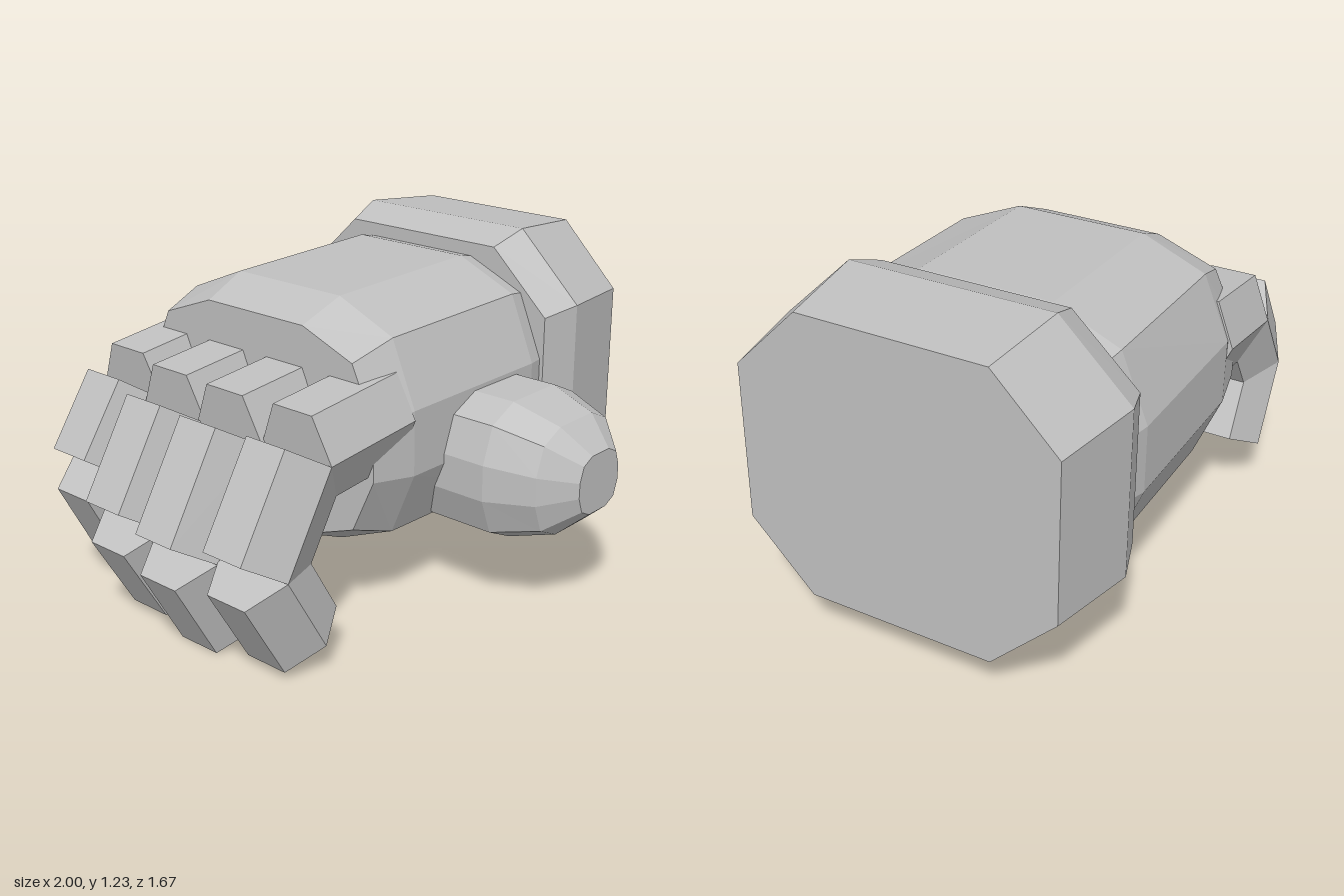
import * as THREE from 'three';

// Closed prism along +z: outline is counter-clockwise in unit x/y, sections are [z, halfWidth, halfHeight].
function loft(outline, sections) {
  const n = outline.length;
  const pos = [];
  const at = (s, i) => {
    const [z, w, h] = sections[s];
    const [x, y] = outline[i % n];
    return [x * w, y * h, z];
  };
  const tri = (a, b, c) => pos.push(...a, ...b, ...c);
  for (let s = 0; s < sections.length - 1; s++) {
    for (let i = 0; i < n; i++) {
      tri(at(s, i), at(s, i + 1), at(s + 1, i + 1));
      tri(at(s, i), at(s + 1, i + 1), at(s + 1, i));
    }
  }
  const last = sections.length - 1;
  for (let i = 1; i < n - 1; i++) {
    tri(at(0, 0), at(0, i + 1), at(0, i));
    tri(at(last, 0), at(last, i), at(last, i + 1));
  }
  const geo = new THREE.BufferGeometry();
  geo.setAttribute('position', new THREE.Float32BufferAttribute(pos, 3));
  geo.computeVertexNormals();
  return geo;
}

// Mirror one quadrant (listed counter-clockwise from +x to +y) into a full outline.
function mirrored(quadrant) {
  const left = quadrant.map(([x, y]) => [-x, y]).reverse();
  const top = [...quadrant, ...left];
  return [...top, ...top.map(([x, y]) => [-x, -y])];
}

const ROUNDED = mirrored([[1, 0.26], [0.83, 0.78], [0.42, 1]]);
const OCTAGON = mirrored([[1, 0.55], [0.59, 1]]);
const HEXAGON = [[1, 0], [0.55, 1], [-0.55, 1], [-1, 0], [-0.55, -1], [0.55, -1]];

export function createModel() {
  const group = new THREE.Group();
  const grey = new THREE.MeshStandardMaterial({ color: 0xc0c0c0, flatShading: true });
  grey.name = 'grey';

  const add = (name, geo, parent = group) => {
    const mesh = new THREE.Mesh(geo, grey);
    mesh.name = name;
    parent.add(mesh);
    return mesh;
  };

  // Palm and wrist cuff run along x
  const palm = add('palm', loft(ROUNDED, [
    [-0.38, 0.55, 0.385], [-0.21, 0.585, 0.455], [0.45, 0.59, 0.47], [0.56, 0.565, 0.445],
  ]));
  const cuff = add('wristCuff', loft(OCTAGON, [
    [0.52, 0.59, 0.505], [0.66, 0.635, 0.555], [1, 0.575, 0.525],
  ]));
  for (const part of [palm, cuff]) {
    part.rotation.y = Math.PI / 2;
    part.position.set(0, 0.685, -0.205);
  }

  // Thumb points forward
  const thumb = add('thumb', loft(ROUNDED, [
    [0.1, 0.285, 0.255], [0.55, 0.285, 0.255], [0.73, 0.225, 0.2], [0.835, 0.118, 0.108],
  ]));
  thumb.position.set(0.235, 0.535, 0);

  // Curled fingers: z, then knuckle, bend and tip as [x, y]
  const fingers = [
    ['indexFinger', 0.235, [-0.63, 0.735], [-0.835, 0.4], [-0.665, 0.108]],
    ['middleFinger', -0.065, [-0.645, 0.735], [-0.86, 0.378], [-0.692, 0.076]],
    ['ringFinger', -0.355, [-0.63, 0.735], [-0.835, 0.4], [-0.665, 0.108]],
    ['littleFinger', -0.65, [-0.57, 0.735], [-0.745, 0.48], [-0.595, 0.19]],
  ];
  for (const [name, z, knuckle, bend, tip] of fingers) {
    const finger = new THREE.Group();
    finger.name = name;
    const path = [[-0.22, 0.775], knuckle, bend, tip];
    ['base', 'middle', 'tip'].forEach((label, i) => {
      const a = new THREE.Vector3(...path[i], z);
      const b = new THREE.Vector3(...path[i + 1], z);
      const half = i === 2 ? 0.145 : 0.16;
      const length = a.distanceTo(b);
      const segment = new THREE.Mesh(loft(HEXAGON, [[0, 0.157, half], [length, 0.157, half]]), grey);
      segment.name = label + 'Segment';
      segment.position.copy(a);
      segment.lookAt(b);
      finger.add(segment);
    });
    group.add(finger);
  }
  return group;
}
